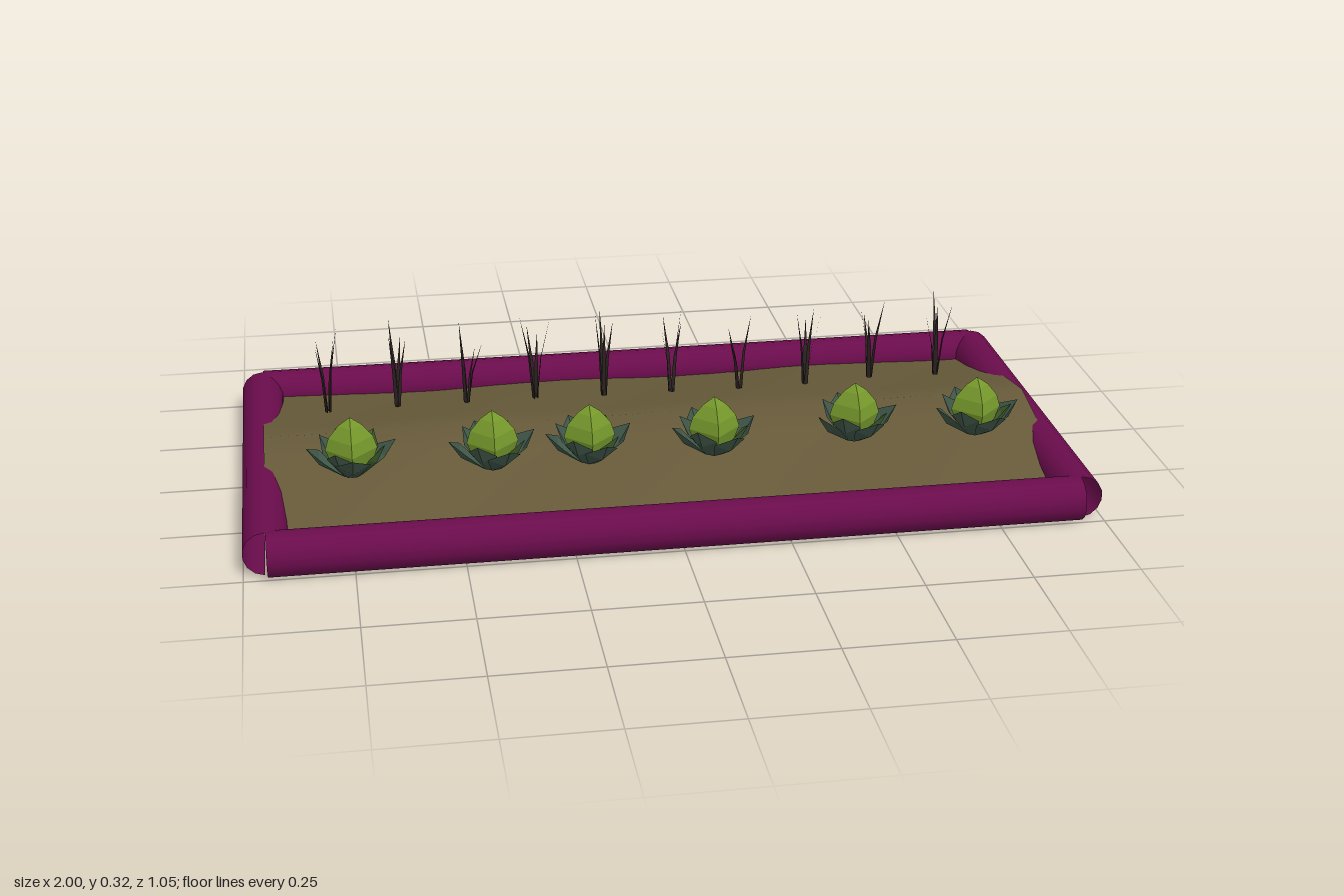
import * as THREE from 'three';

const mat = (color, extra = {}) => new THREE.MeshStandardMaterial({ color, ...extra });
const borderMat = mat(0x6a0c4c, { side: THREE.DoubleSide });
const soilMat = mat(0x675a3a, { side: THREE.DoubleSide });
const outerLeafMat = mat(0x3f5648, { side: THREE.DoubleSide, flatShading: true });
const innerLeafMat = mat(0x46632f, { side: THREE.DoubleSide, flatShading: true });
const heartMat = mat(0x76992c, { side: THREE.DoubleSide, flatShading: true });
const bladeMat = mat(0x2a2220, { side: THREE.DoubleSide, flatShading: true });

let seed = 7;
const rand = () => (seed = (seed * 16807) % 2147483647) / 2147483647;

function add(parent, name, geometry, material) {
  const mesh = new THREE.Mesh(geometry, material);
  mesh.name = name;
  parent.add(mesh);
  return mesh;
}

function shell(points, index) {
  const g = new THREE.BufferGeometry();
  g.setAttribute('position', new THREE.Float32BufferAttribute(points.flat(), 3));
  g.setIndex(index);
  g.computeVertexNormals();
  return g;
}

// Open rounded rail along x, its outer side facing +z
function railGeometry(length) {
  const g = new THREE.CylinderGeometry(0.0525, 0.0525, length, 12, 1, true, -1.5, Math.PI + 2.1);
  return g.rotateZ(Math.PI / 2);
}

// Ridged sheet of earth with a slightly uneven rim, tucked into the rails
function soilGeometry() {
  const g = new THREE.PlaneGeometry(1.89, 1.0, 28, 10).rotateX(-Math.PI / 2);
  const p = g.attributes.position;
  for (let i = 0; i < p.count; i++) {
    const x = p.getX(i), z = p.getZ(i);
    if (Math.abs(z) > 0.49) p.setZ(i, z + 0.01 * Math.sin(x * 23));
    p.setY(i, 0.13 - 0.19 * Math.abs(z) + (z === 0 ? 0.002 : 0.004) * Math.sin(x * 9 + z * 7));
  }
  g.computeVertexNormals();
  return g;
}

// Folded pointed leaf growing outwards along +z
function leafGeometry(reach, width, tipY) {
  const midY = tipY * 0.55;
  return shell([
    [-0.012, 0, 0.02], [0.012, 0, 0.02], [-width, midY + 0.01, reach * 0.66],
    [0, midY - 0.01, reach * 0.72], [width, midY + 0.01, reach * 0.66], [0, tipY, reach],
  ], [0, 3, 2, 0, 1, 3, 1, 4, 3, 2, 3, 5, 3, 4, 5]);
}

function createCabbage() {
  const plant = new THREE.Group();
  plant.name = 'cabbage';
  const profile = [[0.015, 0], [0.048, 0.03], [0.061, 0.065], [0.052, 0.095], [0.028, 0.125], [0, 0.145]];
  add(plant, 'heart', new THREE.LatheGeometry(profile.map(([x, y]) => new THREE.Vector2(x, y)), 4), heartMat);
  for (let i = 0; i < 8; i++) {
    const upper = i % 2;
    const leaf = add(plant, upper ? 'innerLeaf' : 'outerLeaf',
      upper ? leafGeometry(0.086, 0.036, 0.085) : leafGeometry(0.106, 0.042, 0.078),
      upper && i < 4 ? innerLeafMat : outerLeafMat);
    leaf.rotation.y = i * Math.PI / 4 + 0.2 + (rand() - 0.5) * 0.4;
  }
  return plant;
}

// Thin bent blade leaning towards +z
function bladeGeometry(height, lean) {
  const w = 0.006;
  return shell([
    [-w, 0, 0], [w, 0, 0], [-w * 0.8, height * 0.5, lean * 0.3],
    [w * 0.8, height * 0.5, lean * 0.3], [0, height, lean],
  ], [0, 1, 2, 1, 3, 2, 2, 3, 4]);
}

function createSprout() {
  const tuft = new THREE.Group();
  tuft.name = 'sprout';
  const start = rand() * 6.28;
  for (let i = 0; i < 4; i++) {
    const a = start + i * 1.57 + (rand() - 0.5);
    const blade = add(tuft, 'blade', bladeGeometry(0.15 + 0.085 * rand(), 0.015 + 0.025 * rand()), bladeMat);
    blade.rotation.y = a;
    blade.position.set(Math.sin(a) * 0.005, 0, Math.cos(a) * 0.005);
  }
  return tuft;
}

export function createModel() {
  const model = new THREE.Group();
  model.name = 'gardenBed';

  // Border rails: front, left, back, right
  ['frontRail', 'leftRail', 'backRail', 'rightRail'].forEach((name, k) => {
    const end = k % 2, a = k * Math.PI / 2, d = end ? 0.9475 : 0.4725;
    const rail = add(model, name, railGeometry(end ? 0.945 : 1.89), borderMat);
    rail.rotation.y = a;
    rail.position.set(Math.sin(a) * d, 0.0525, Math.cos(a) * d);
  });

  add(model, 'soil', soilGeometry(), soilMat);

  // Row of cabbages along the front
  [[-0.74, 0.19], [-0.41, 0.2], [-0.18, 0.2], [0.12, 0.2], [0.47, 0.17], [0.77, 0.18]].forEach(([x, z]) => {
    const plant = createCabbage();
    plant.position.set(x, 0.105, z);
    model.add(plant);
  });

  // Row of sprouts along the back
  for (let i = 0; i < 10; i++) {
    const sprout = createSprout();
    sprout.position.set(-0.785 + i * 0.174, 0.093, -0.215 + (rand() - 0.5) * 0.035);
    model.add(sprout);
  }
  return model;
}
